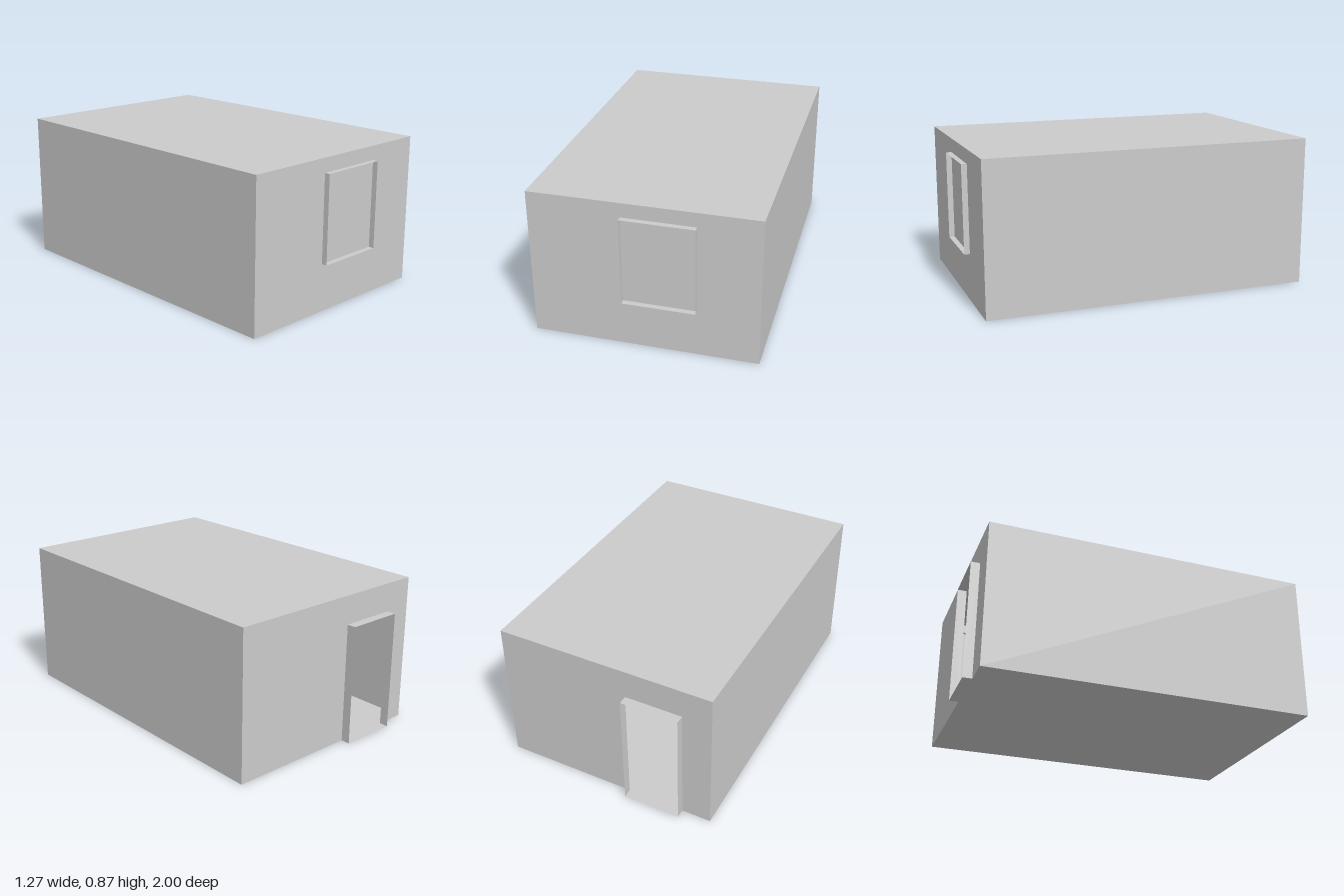
import * as THREE from 'three';

const material = new THREE.MeshStandardMaterial({
  color: 0xcccccc, side: THREE.DoubleSide, flatShading: true,
});

// Room extents and the openings (x0, x1, y0, y1)
const X = 0.637, H = 0.868, BACK = -0.947, FRONT = 0.968;
const door = [-0.467, -0.132, 0, 0.7];
const win = [-0.118, 0.293, 0.277, 0.785];

const rect = (T, [x0, x1, y0, y1]) => new T()
  .moveTo(x0, y0).lineTo(x1, y0).lineTo(x1, y1).lineTo(x0, y1).closePath();

function add(group, name, geometry, x = 0, y = 0, z = 0, rx = 0, ry = 0) {
  const mesh = new THREE.Mesh(geometry, material);
  mesh.name = name;
  mesh.position.set(x, y, z);
  mesh.rotation.set(rx, ry, 0);
  group.add(mesh);
}

// Four thin sheets lining a rectangular opening between z0 and z1
function reveal(name, [x0, x1, y0, y1], z0, z1) {
  const g = new THREE.Group();
  g.name = name;
  const w = x1 - x0, h = y1 - y0, d = z1 - z0;
  const cx = (x0 + x1) / 2, cy = (y0 + y1) / 2, cz = (z0 + z1) / 2;
  for (const s of [-1, 1]) {
    add(g, s < 0 ? 'rightJamb' : 'leftJamb', new THREE.PlaneGeometry(d, h),
      cx + s * w / 2, cy, cz, 0, s * Math.PI / 2);
    add(g, s < 0 ? 'sill' : 'head', new THREE.PlaneGeometry(w, d),
      cx, cy + s * h / 2, cz, -s * Math.PI / 2);
  }
  return g;
}

export function createModel() {
  const model = new THREE.Group();
  model.name = 'room';
  const depth = FRONT - BACK, mid = (FRONT + BACK) / 2;

  // Shell: floor, ceiling and side walls
  add(model, 'floor', new THREE.PlaneGeometry(2 * X, depth), 0, 0, mid, Math.PI / 2);
  add(model, 'ceiling', new THREE.PlaneGeometry(2 * X, depth), 0, H, mid, -Math.PI / 2);
  for (const s of [-1, 1]) {
    add(model, s < 0 ? 'rightWall' : 'leftWall', new THREE.PlaneGeometry(depth, H),
      s * X, H / 2, mid, 0, s * Math.PI / 2);
  }

  // Front wall, closed behind the window frame
  add(model, 'frontWall', new THREE.PlaneGeometry(2 * X, H), 0, H / 2, FRONT);

  // Back wall outline runs around the doorway, which is open at the floor
  const [d0, d1, , dTop] = door;
  const outline = [[-X, 0], [d0, 0], [d0, dTop], [d1, dTop], [d1, 0], [X, 0], [X, H], [-X, H]];
  const backWall = new THREE.Shape(outline.map(([x, y]) => new THREE.Vector2(x, y)));
  const backGeometry = new THREE.ShapeGeometry(backWall).rotateY(Math.PI);
  backGeometry.scale(-1, 1, 1);
  backGeometry.setIndex([...backGeometry.index.array].reverse());
  backGeometry.computeVertexNormals();
  add(model, 'backWall', backGeometry, 0, 0, BACK);

  // Projecting frames
  model.add(reveal('doorFrame', door, -1, BACK));
  model.add(reveal('windowFrame', win, FRONT, 1));

  // Cornice under the ceiling, inside the room
  const inset = 0.003, p = 0.025, h = 0.055;
  const cornice = rect(THREE.Shape, [-X + inset, X - inset, BACK + inset, FRONT - inset]);
  cornice.holes.push(rect(THREE.Path, [-X + p, X - p, BACK + p, FRONT - p]));
  add(model, 'cornice', new THREE.ExtrudeGeometry(cornice, { depth: h, bevelEnabled: false }),
    0, H - inset, 0, Math.PI / 2);

  return model;
}
